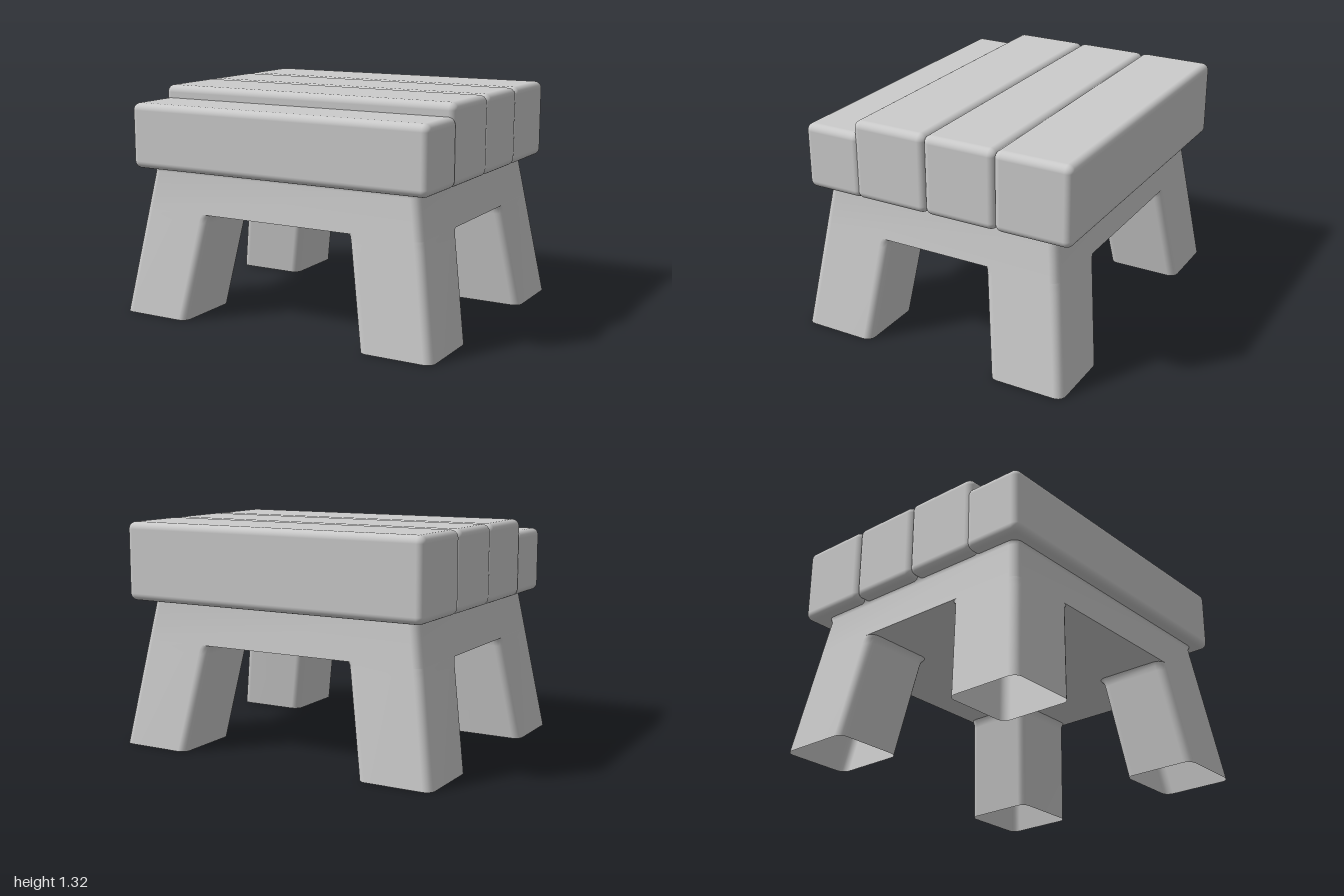
import * as THREE from 'three';
import { RoundedBoxGeometry } from 'three/addons/geometries/RoundedBoxGeometry.js';

const R = 0.05; // corner radius of legs and apron
const APRON_Y = 0.62, SEAT_Y = 0.86;

const material = new THREE.MeshStandardMaterial({ color: 0xcccccc, side: THREE.DoubleSide });

// Points on an arc in the ground plane, as [x, z]
function arc(cx, cz, from, to, steps = 5) {
  return Array.from({ length: steps + 1 }, (_, i) => {
    const a = from + (to - from) * i / steps;
    return [cx + R * Math.cos(a), cz + R * Math.sin(a)];
  });
}

// Rounded rectangle outline
function roundedRect(x0, x1, z0, z1) {
  const q = Math.PI / 2;
  return [
    ...arc(x1 - R, z1 - R, 0, q), ...arc(x0 + R, z1 - R, q, 2 * q),
    ...arc(x0 + R, z0 + R, 2 * q, 3 * q), ...arc(x1 - R, z0 + R, 3 * q, 4 * q),
  ];
}

// Open tube through a stack of equal-length outlines [{ y, pts }]
function loft(sections) {
  const n = sections[0].pts.length, pos = [], idx = [];
  for (const { y, pts } of sections) for (const [x, z] of pts) pos.push(x, y, z);
  for (let s = 0; s < sections.length - 1; s++) {
    for (let i = 0; i < n; i++) {
      const a = s * n + i, b = s * n + (i + 1) % n;
      idx.push(a, a + n, b, b, a + n, b + n);
    }
  }
  const g = new THREE.BufferGeometry();
  g.setAttribute('position', new THREE.Float32BufferAttribute(pos, 3));
  g.setIndex(idx);
  g.computeVertexNormals();
  return g;
}

// Sloping outer faces shared by legs and apron
const outerX = y => 1.0 - 0.168 * y;
const outerZ = y => 0.84 - 0.14 * y;

export function createModel() {
  const model = new THREE.Group();
  const add = (name, geometry) => {
    const mesh = new THREE.Mesh(geometry, material);
    mesh.name = name;
    model.add(mesh);
    return mesh;
  };

  // Seat planks: [name, back z, front z, top y]
  const planks = [
    ['frontPlank', 0.44, 0.80, 1.24],
    ['frontMiddlePlank', 0.02, 0.475, 1.315],
    ['backMiddlePlank', -0.405, 0.03, 1.315],
    ['backPlank', -0.845, -0.395, 1.315],
  ];
  for (const [name, z0, z1, top] of planks) {
    const plank = add(name, new RoundedBoxGeometry(1.89, top - SEAT_Y, z1 - z0, 5, 0.042));
    plank.position.set(0, (top + SEAT_Y) / 2, (z0 + z1) / 2);
  }

  // Hollow splayed legs, open at the foot: [y, inner x, inner z]
  const legRows = [[0, 0.565, 0.393], [0.57, 0.463, 0.317], [0.6, 0.456, 0.311], [APRON_Y, 0.442, 0.297]];
  for (const sx of [1, -1]) for (const sz of [1, -1]) {
    const sections = legRows.map(([y, ix, iz]) => {
      const xs = [sx * ix, sx * outerX(y)], zs = [sz * iz, sz * outerZ(y)];
      return { y, pts: roundedRect(Math.min(...xs), Math.max(...xs), Math.min(...zs), Math.max(...zs)) };
    });
    add((sz > 0 ? 'front' : 'back') + (sx > 0 ? 'Left' : 'Right') + 'Leg', loft(sections));
  }

  // Apron walls under the seat, flaring slightly where they meet it
  add('apron', loft([[APRON_Y, 0], [0.84, 0], [0.865, 0.012], [0.89, 0.03]].map(([y, flare]) => {
    const x = outerX(y) + flare, z = outerZ(y) + flare;
    return { y, pts: roundedRect(-x, x, -z, z) };
  })));

  // Underside panel, notched around the four legs
  const [, ix, iz] = legRows[3], ox = outerX(APRON_Y), oz = outerZ(APRON_Y), q = Math.PI / 2;
  const notch = [
    ...arc(ox - R, iz + R, 0, -q), ...arc(ix + R, iz + R, -q, -2 * q), ...arc(ix + R, oz - R, -2 * q, -3 * q),
  ];
  const outline = [];
  for (const [sx, sz] of [[1, 1], [-1, 1], [-1, -1], [1, -1]]) {
    const corner = notch.map(([x, z]) => new THREE.Vector2(sx * x, sz * z));
    outline.push(...(sx * sz > 0 ? corner : corner.reverse()));
  }
  const panel = add('undersidePanel', new THREE.ShapeGeometry(new THREE.Shape(outline)));
  panel.geometry.rotateX(Math.PI / 2);
  panel.position.y = APRON_Y;

  return model;
}
